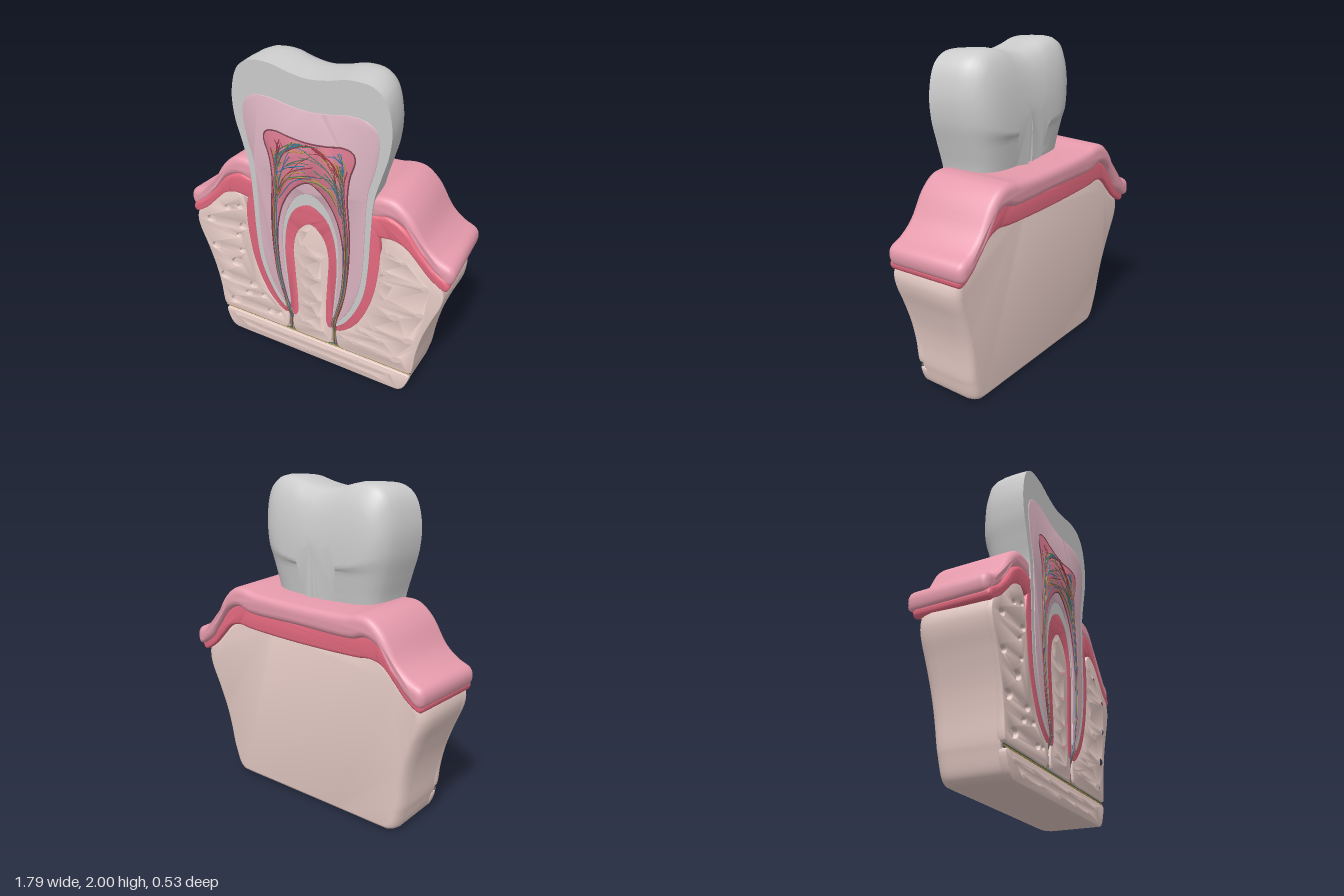
import * as THREE from 'three';
import { toCreasedNormals } from 'three/addons/utils/BufferGeometryUtils.js';

const BONE = 0xe8cdc7, LIGAMENT = 0xe2697e, GUM = 0xe69bac, ENAMEL = 0xcccccc, DENTIN = 0xdab3c0, PULP = 0xd97a90;
const STRANDS = [0x3f78a8, 0xb89a4a, 0x9c3c48, 0x4f7a62];

const mat = (color) => new THREE.MeshStandardMaterial({ color });
const flip = (pts) => pts.map(([x, y]) => [-x, y]);
// half outline from top centre to bottom centre -> closed symmetric outline
const mirror = (half) => [...half, ...flip(half.slice(1, -1)).reverse()];

function smooth(pts, closed = true) {
  const curve = new THREE.CatmullRomCurve3(pts.map(([x, y, z = 0]) => new THREE.Vector3(x, y, z)), closed);
  return curve;
}
function outline(pts, holes = []) {
  const p = smooth(pts).getPoints(pts.length * 5).slice(0, -1).map((v) => new THREE.Vector2(v.x, v.y));
  const shape = new THREE.Shape(p);
  for (const [x, y, r] of holes) {
    const hole = new THREE.Path();
    hole.absellipse(x, y, r * 1.25, r * 0.8, 0, Math.PI * 2, true, 0.3);
    shape.holes.push(hole);
  }
  return shape;
}
function add(group, name, geo, color) {
  const mesh = new THREE.Mesh(geo, mat(color));
  mesh.name = name;
  group.add(mesh);
  return mesh;
}
// slab with rounded edges between two depths
function slab(pts, z0, z1, b, holes) {
  const geo = new THREE.ExtrudeGeometry(outline(pts, holes), {
    depth: z1 - z0 - 2 * b, bevelThickness: b, bevelSize: b, bevelOffset: -b, bevelSegments: 4, curveSegments: 8,
  });
  return geo.translate(0, 0, z0 + b);
}
// solid whose outline is rescaled at each section [z, scaleX, scaleY], back to front
function sculpt(pts, sections, rule) {
  const n = sections.length - 1;
  const geo = new THREE.ExtrudeGeometry(outline(pts), { depth: n, steps: n, bevelEnabled: false });
  warp(geo, (v) => {
    const [z, sx, sy] = sections[Math.round(v.z)];
    v.z = z;
    rule(v, sx, sy);
  });
  return toCreasedNormals(geo, 0.75);
}
function warp(geo, rule) {
  const pos = geo.attributes.position, v = new THREE.Vector3();
  for (let i = 0; i < pos.count; i++) {
    rule(v.fromBufferAttribute(pos, i));
    pos.setXYZ(i, v.x, v.y, v.z);
  }
  return geo;
}
function strand(group, name, pts, radius, color, closed = false) {
  add(group, name, new THREE.TubeGeometry(smooth(pts, closed), pts.length * 6, radius, 5, closed), color);
}
let seed = 7;
const rand = (a, b) => {
  seed = (seed * 16807) % 2147483647;
  return a + (b - a) * (seed / 2147483647);
};

function buildBone(group) {
  const side = [[0.85, 0.82], [0.84, 0.75], [0.79, 0.62], [0.74, 0.47], [0.71, 0.33], [0.69, 0.18]];
  const body = mirror([[0, 1.13], [0.3, 1.13], [0.52, 1.13], [0.62, 1.08], [0.73, 0.97], [0.83, 0.89], ...side,
    [0.68, 0.14], [0.645, 0.03], [0.61, 0.003], [0.58, 0], [0.3, 0], [0, 0]]);
  const sections = [[-0.2, 0.93, 0.94], [-0.195, 0.95, 0.96], [-0.18, 0.97, 0.98], [-0.15, 0.987, 0.993], [-0.1, 1, 1], [0.225, 1, 1]];
  add(group, 'jawBone', sculpt(body, sections, (v, sx, sy) => {
    v.x *= sx;
    v.y = 0.5 + (v.y - 0.5) * sy;
    if (v.z < 0) v.z *= 0.7 + 0.3 * Math.min(1, v.y / 0.87);
  }), BONE);

  // porous cut face, split by the nerve channels
  const face = (name, pts, holes) => add(group, name, toCreasedNormals(slab(pts, 0.21, 0.254, 0.006, holes), 0.7), BONE);
  const block = [[0.55, 1.11], [0.62, 1.07], [0.73, 0.96], [0.83, 0.88], ...side, [0.675, 0.167], [0.6, 0.165], [0.4, 0.165],
    [0.22, 0.165], [0.19, 0.175], [0.178, 0.21], [0.176, 0.3], [0.2, 0.325], [0.27, 0.36], [0.36, 0.5], [0.42, 0.7], [0.45, 0.95], [0.49, 1.08]];
  const pores = [[0.505, 1.0, 0.018], [0.6, 0.965, 0.02], [0.49, 0.86, 0.025], [0.53, 0.78, 0.016], [0.74, 0.84, 0.026],
    [0.56, 0.56, 0.036], [0.51, 0.67, 0.018], [0.72, 0.64, 0.028], [0.66, 0.42, 0.036], [0.44, 0.42, 0.026], [0.36, 0.36, 0.02],
    [0.59, 0.24, 0.036], [0.48, 0.34, 0.022], [0.31, 0.25, 0.024], [0.24, 0.26, 0.014]];
  face('leftBoneFace', block, pores);
  face('rightBoneFace', flip(block), flip(pores).map((p, i) => [...p, pores[i][2]]));
  face('middleBoneFace', mirror([[0, 1.06], [0.08, 1.0], [0.13, 0.85], [0.125, 0.6], [0.12, 0.4], [0.138, 0.31], [0.142, 0.21], [0.13, 0.175], [0.1, 0.165], [0, 0.165]]),
    [[-0.03, 0.97, 0.014], [0.05, 0.8, 0.022], [-0.06, 0.86, 0.018], [-0.05, 0.7, 0.018], [0.05, 0.64, 0.022], [-0.03, 0.55, 0.018],
      [0.06, 0.48, 0.016], [-0.02, 0.42, 0.022], [0.05, 0.35, 0.016], [-0.05, 0.27, 0.022], [0.07, 0.24, 0.014]]);
  face('lowerBoneFace', mirror([[0, 0.143], [0.3, 0.143], [0.62, 0.143], [0.67, 0.141], [0.68, 0.13], [0.645, 0.03], [0.61, 0.003], [0.58, 0], [0.3, 0], [0, 0]]),
    [-0.59, -0.49, -0.37, -0.27, -0.16, -0.03, 0.1, 0.2, 0.32, 0.41, 0.54].map((x, i) => [x, i % 2 ? 0.045 : 0.1, 0.016 + 0.004 * (i % 3)]));
}

function buildGum(group) {
  const taper = (v) => { if (v.z < 0) v.x *= 1 + 0.16 * v.z; };
  const ligament = mirror([[0, 1.21], [0.4, 1.22], [0.5, 1.23], [0.6, 1.18], [0.7, 1.06], [0.78, 0.98], [0.86, 0.925], [0.877, 0.89],
    [0.855, 0.86], [0.76, 0.91], [0.68, 0.99], [0.6, 1.065], [0.52, 1.09], [0.42, 1.08], [0, 1.07]]);
  add(group, 'ligamentBand', toCreasedNormals(warp(slab(ligament, -0.225, 0.257, 0.02), taper), 0.7), LIGAMENT);
  const gum = mirror([[0, 1.315], [0.36, 1.325], [0.45, 1.34], [0.53, 1.33], [0.62, 1.26], [0.72, 1.11], [0.8, 1.045], [0.88, 1.005],
    [0.897, 0.96], [0.875, 0.9], [0.76, 0.965], [0.69, 1.06], [0.6, 1.17], [0.5, 1.215], [0.4, 1.19], [0, 1.19]]);
  add(group, 'gum', toCreasedNormals(warp(slab(gum, -0.26, 0.25, 0.04), taper), 0.7), GUM);
  // socket lining wrapped around both roots
  const socket = mirror([[0, 1.2], [0.3, 1.18], [0.42, 1.13], [0.455, 1.0], [0.445, 0.8], [0.41, 0.62], [0.33, 0.43], [0.25, 0.335],
    [0.19, 0.3], [0.174, 0.31], [0.168, 0.35], [0.155, 0.35], [0.145, 0.31], [0.125, 0.3], [0.105, 0.33], [0.1, 0.42],
    [0.115, 0.7], [0.12, 0.83], [0.085, 0.96], [0, 1.03]]);
  add(group, 'socketLining', toCreasedNormals(slab(socket, 0.2, 0.257, 0.006), 0.7), LIGAMENT);
}

function buildTooth(group) {
  const crown = mirror([[0, 1.955], [0.12, 1.97], [0.25, 2.0], [0.38, 1.99], [0.455, 1.93], [0.498, 1.78], [0.49, 1.62], [0.45, 1.47],
    [0.41, 1.32], [0.395, 1.1], [0.385, 0.85], [0.36, 0.65], [0.3, 0.49], [0.23, 0.38], [0.172, 0.338], [0.155, 0.38],
    [0.165, 0.55], [0.18, 0.8], [0.155, 1.0], [0.1, 1.11], [0, 1.165]]);
  const sections = [[-0.093, 0.3, 0.25], [-0.088, 0.5, 0.4], [-0.078, 0.63, 0.57], [-0.06, 0.74, 0.74], [-0.035, 0.82, 0.87],
    [0, 0.885, 0.97], [0.04, 0.925, 0.995], [0.1, 0.955, 1], [0.18, 0.985, 0.985], [0.26, 1, 0.965]];
  add(group, 'enamelAndRoots', sculpt(crown, sections, (v, sx, sy) => {
    v.x *= sx;
    if (v.z < 0.1) v.z += 0.16 * THREE.MathUtils.clamp(1.6 - v.y, 0, 0.4) * (0.1 - v.z) / 0.2;
    if (v.y > 1.5) v.y = 1.5 + (v.y - 1.5) * sy;
  }), ENAMEL);

  const dentin = mirror([[0, 1.755], [0.12, 1.765], [0.25, 1.787], [0.36, 1.775], [0.415, 1.73], [0.43, 1.65], [0.41, 1.5], [0.372, 1.35],
    [0.36, 1.1], [0.352, 0.85], [0.33, 0.68], [0.27, 0.5], [0.2, 0.39], [0.166, 0.35], [0.16, 0.38],
    [0.175, 0.55], [0.195, 0.8], [0.18, 1.0], [0.14, 1.12], [0.08, 1.205], [0, 1.24]]);
  add(group, 'dentin', toCreasedNormals(slab(dentin, 0.2, 0.264, 0.003), 0.7), DENTIN);

  const pulp = mirror([[0, 1.565], [0.12, 1.575], [0.22, 1.592], [0.28, 1.575], [0.293, 1.53], [0.262, 1.42], [0.248, 1.28], [0.262, 1.08],
    [0.262, 0.85], [0.236, 0.6], [0.2, 0.45], [0.167, 0.36], [0.16, 0.365], [0.18, 0.45],
    [0.212, 0.6], [0.228, 0.85], [0.215, 1.0], [0.17, 1.15], [0.09, 1.265], [0, 1.315]]);
  add(group, 'pulp', toCreasedNormals(slab(pulp, 0.2, 0.266, 0.002), 0.7), PULP);
  strand(group, 'pulpRim', pulp.map(([x, y]) => [x, y, 0.264]), 0.005, 0x7d4654, true);
}

function buildNerves(group) {
  const trunk = [[0.16, 0.16], [0.16, 0.27], [0.164, 0.35], [0.19, 0.45], [0.224, 0.6], [0.245, 0.85], [0.24, 1.05], [0.222, 1.25], [0.215, 1.38]];
  // main lines lying in the horizontal channel
  STRANDS.forEach((color, i) => {
    const y = 0.147 + 0.005 * i;
    strand(group, 'channelNerve', [-0.69, -0.35, 0, 0.35, 0.69].map((x, k) => [x, y + 0.002 * (k % 2), 0.236 + 0.004 * (i % 2)]), 0.004, color);
  });
  for (const s of [-1, 1]) {
    // strands climbing through each root
    for (let i = 0; i < 7; i++) {
      const off = (i - 3) * 0.004;
      const path = trunk.map(([x, y], k) => [s * (x + off * (k > 2 && k < 4 ? 0.6 : 1) + rand(-0.003, 0.003)), y, k < 2 ? 0.24 : 0.267]);
      path.push([s * (0.2 + off * 4), 1.44 + rand(0, 0.08), 0.267]);
      strand(group, 'rootNerve', path, 0.0035, STRANDS[i % 4]);
    }
    // twigs spreading through the pulp chamber
    for (let i = 0; i < 24; i++) {
      const y0 = rand(1.15, 1.45), x0 = 0.22 + rand(-0.02, 0.012);
      const y1 = Math.min(1.55, Math.max(1.35, y0 + rand(0.04, 0.26))), x1 = rand(-0.04, 0.25);
      const mid = [s * (x0 * 0.6 + x1 * 0.4 + rand(-0.02, 0.02)), Math.max(y0 * 0.35 + y1 * 0.65, 1.3), 0.268];
      const fork = [s * (x1 + rand(-0.05, 0.03)), Math.min(1.555, y1 + rand(-0.05, 0.06)), 0.267];
      strand(group, 'pulpTwig', [[s * x0, y0, 0.267], mid, [s * x1, y1, 0.267]], 0.003, STRANDS[i % 4]);
      strand(group, 'pulpTwig', [mid, [(mid[0] + fork[0]) / 2, (mid[1] + fork[1]) / 2 + 0.015, 0.267], fork], 0.0022, STRANDS[i % 4]);
    }
  }
}

export function createModel() {
  const model = new THREE.Group();
  model.name = 'toothCrossSection';
  const parts = { bone: buildBone, gums: buildGum, tooth: buildTooth, nerves: buildNerves };
  for (const [name, build] of Object.entries(parts)) {
    const group = new THREE.Group();
    group.name = name;
    build(group);
    model.add(group);
  }
  return model;
}
